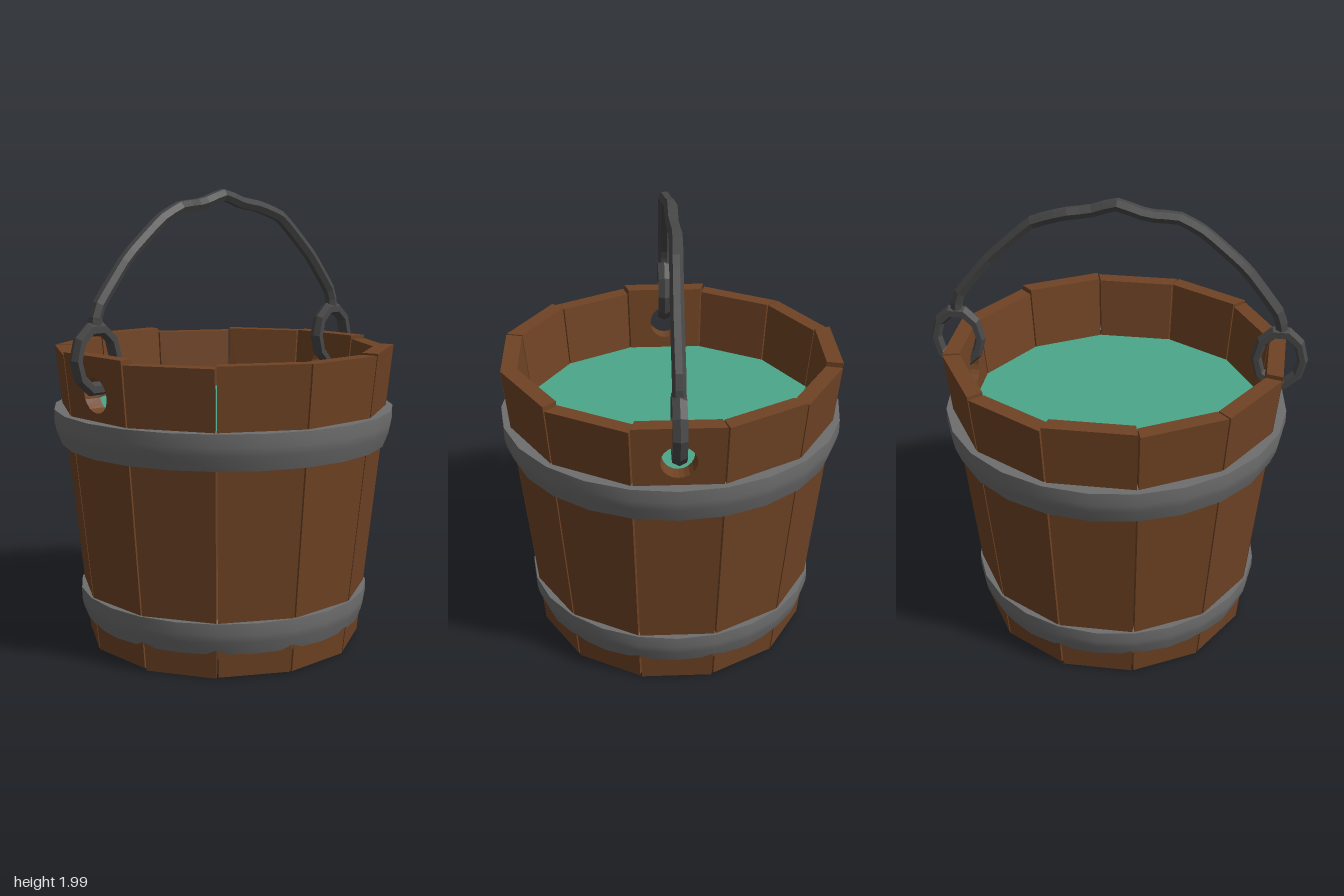
import * as THREE from 'three';

const STAVES = 12, HALF = Math.PI / STAVES, THICK = 0.07;
const wood = new THREE.MeshStandardMaterial({ color: 0x6f4324, flatShading: true });
const band = new THREE.MeshStandardMaterial({ color: 0x6e6e6e });
const iron = new THREE.MeshStandardMaterial({ color: 0x474747, flatShading: true });
const liquid = new THREE.MeshStandardMaterial({ color: 0x4ca68a, side: THREE.DoubleSide });

// Outer corner radius of the tapered wall at height y
const wallRadius = (y) => 0.61 + 0.14 * (y / 1.32);

function add(parent, name, geometry, material) {
  const mesh = new THREE.Mesh(geometry, material);
  mesh.name = name;
  parent.add(mesh);
  return mesh;
}

// One tapered plank facing +z, leaning outward, with an optional handle hole
function staveGeometry(bottom, top, hole) {
  const halfWidth = (y) => wallRadius(y) * Math.sin(HALF) - 0.004;
  const shape = new THREE.Shape([
    new THREE.Vector2(-halfWidth(bottom), bottom),
    new THREE.Vector2(halfWidth(bottom), bottom),
    new THREE.Vector2(halfWidth(top), top),
    new THREE.Vector2(-halfWidth(top), top),
  ]);
  if (hole) shape.holes.push(new THREE.Path().absarc(0, 1.165, 0.075, 0, Math.PI * 2, true));
  const geometry = new THREE.ExtrudeGeometry(shape, { depth: THICK, bevelEnabled: false, curveSegments: 10 });
  const pos = geometry.attributes.position;
  for (let i = 0; i < pos.count; i++) {
    const y = pos.getY(i);
    const outer = wallRadius(y) * Math.cos(HALF);
    const z = outer - THICK + pos.getZ(i);
    pos.setXYZ(i, pos.getX(i) * z / outer, y, z);
  }
  geometry.computeVertexNormals();
  return geometry;
}

// Metal band with a softly rounded outer face
function hoopGeometry(y0, y1, r0, r1, inner) {
  const h = y1 - y0;
  const profile = [
    [inner, y0], [r0, y0], [r0, y0], [r1 - 0.008, y0 + h * 0.4],
    [r1, y0 + h * 0.65], [r1, y1], [r1, y1], [inner, y1],
  ].map(([r, y]) => new THREE.Vector2(r, y));
  return new THREE.LatheGeometry(profile, 24);
}

export function createModel() {
  const model = new THREE.Group();
  model.name = 'bucket';

  // Wall of planks, slightly uneven in height
  const wall = new THREE.Group();
  wall.name = 'staves';
  model.add(wall);
  for (let k = 0; k < STAVES; k++) {
    const hole = k === 3 || k === 9;
    const top = 1.318 + 0.01 * Math.sin(k * 2.3);
    const bottom = 0.01 + 0.006 * Math.sin(k * 1.7);
    add(wall, 'stave', staveGeometry(bottom, top, hole), wood).rotation.y = HALF * (2 * k + 1);
  }

  // Floor and contents
  add(model, 'floor', new THREE.CylinderGeometry(0.56, 0.55, 0.05, STAVES), wood).position.y = 0.09;
  const water = add(model, 'water', new THREE.CircleGeometry(0.65, STAVES), liquid);
  water.rotation.x = -Math.PI / 2;
  water.position.y = 1.04;

  // Bands
  add(model, 'upperBand', hoopGeometry(0.9, 1.055, 0.718, 0.75, 0.67), band);
  add(model, 'lowerBand', hoopGeometry(0.11, 0.25, 0.615, 0.645, 0.58), band);

  // Handle and rings lie in one vertical plane through two opposite planks
  const handle = new THREE.Group();
  handle.name = 'handle';
  handle.rotation.y = HALF;
  model.add(handle);

  const path = [
    [-0.705, 1.43, 0], [-0.69, 1.52, 0], [-0.54, 1.715, 0.005], [-0.365, 1.865, 0.01],
    [-0.255, 1.92, 0.015], [-0.13, 1.93, 0], [0, 1.97, 0], [0.11, 1.935, 0],
    [0.22, 1.92, -0.01], [0.36, 1.87, -0.005], [0.545, 1.7, 0], [0.69, 1.52, 0], [0.705, 1.43, 0],
  ].map((p) => new THREE.Vector3(...p));
  const curve = new THREE.CatmullRomCurve3(path, false, 'catmullrom', 0.2);
  add(handle, 'handleBar', new THREE.TubeGeometry(curve, 36, 0.028, 6), iron);

  for (const side of [-1, 1]) {
    const ring = add(handle, 'handleRing', new THREE.TorusGeometry(0.115, 0.027, 6, 10), iron);
    ring.scale.set(0.86, 1.1, 1.25);
    ring.position.set(side * 0.702, 1.315, 0);
    ring.rotation.y = side < 0 ? Math.PI : 0;
  }
  return model;
}
